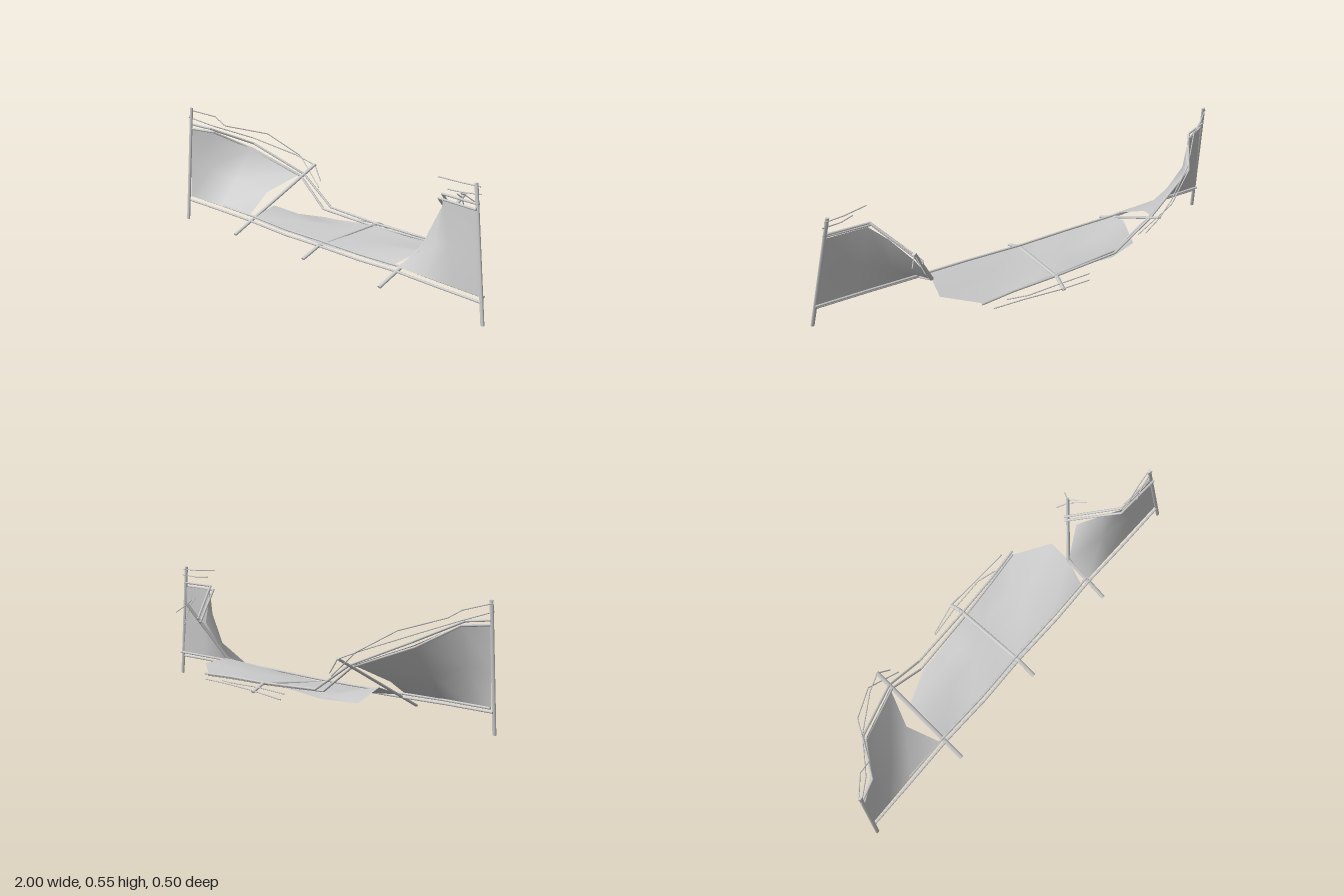
import * as THREE from 'three';
import { mergeGeometries } from 'three/addons/utils/BufferGeometryUtils.js';

const grey = new THREE.MeshStandardMaterial({ color: 0xcccccc });
const sheet = new THREE.MeshStandardMaterial({ color: 0xcccccc, side: THREE.DoubleSide });

// Straight rods joined end to end along a bent path; flat squeezes the section front to back
function rod(name, radius, points, sides = 8, flat = 1) {
  const pts = points.map((p) => new THREE.Vector3(...p));
  const parts = [];
  for (let i = 0; i < pts.length - 1; i++) {
    const dir = pts[i + 1].clone().sub(pts[i]);
    const g = new THREE.CylinderGeometry(radius, radius, dir.length(), sides).scale(1, 1, flat);
    const q = new THREE.Quaternion().setFromUnitVectors(new THREE.Vector3(0, 1, 0), dir.clone().normalize());
    g.applyQuaternion(q);
    const mid = pts[i].clone().add(pts[i + 1]).multiplyScalar(0.5);
    g.translate(mid.x, mid.y, mid.z);
    parts.push(g);
    // Small knuckle filling each bend
    if (i > 0) parts.push(new THREE.SphereGeometry(radius * flat, sides, 4).translate(pts[i].x, pts[i].y, pts[i].z));
  }
  const mesh = new THREE.Mesh(mergeGeometries(parts), grey);
  mesh.name = name;
  return mesh;
}

// Smooth sheet lofted through rows of points, listed bottom to top
function panel(name, rows) {
  const cols = rows[0].length;
  const index = [];
  for (let r = 0; r < rows.length - 1; r++) {
    for (let c = 0; c < cols - 1; c++) {
      const a = r * cols + c, b = a + 1, d = a + cols, e = d + 1;
      index.push(a, b, e, a, e, d);
    }
  }
  const g = new THREE.BufferGeometry();
  g.setAttribute('position', new THREE.Float32BufferAttribute(rows.flat(2), 3));
  g.setIndex(index);
  g.computeVertexNormals();
  const mesh = new THREE.Mesh(g, sheet);
  mesh.name = name;
  return mesh;
}

export function createModel() {
  const model = new THREE.Group();
  model.name = 'collapsedFence';

  // Posts: two upright ends, one leaning, one flattened, one buckled
  const posts = {
    rightEndPost: [[-0.99, 0, 0.176], [-0.99, 0.545, 0.14]],
    leaningPost: [[-0.51, 0.042, 0.245], [-0.51, 0.298, -0.23]],
    fallenPost: [[-0.015, 0.045, 0.245], [-0.015, 0.088, 0.155], [-0.015, 0.124, -0.19], [-0.015, 0.094, -0.247]],
    buckledPost: [[0.48, 0.045, 0.245], [0.482, 0.155, 0.03], [0.615, 0.405, -0.1]],
    leftEndPost: [[0.988, 0.003, 0.168], [0.893, 0.543, 0.122]],
  };
  for (const [name, path] of Object.entries(posts)) model.add(rod(name, 0.0095, path, 8, 0.65));

  // Lower rails, one each side of the sheet
  for (const [dz, y] of [[0.008, 0.094], [-0.008, 0.113]]) {
    model.add(rod('lowerRail', 0.0052, [
      [-0.99, y, 0.155 + dz], [-0.75, y, 0.152 + dz], [-0.51, y - 0.004, 0.146 + dz], [-0.25, y - 0.009, 0.152 + dz],
      [-0.015, y - 0.008, 0.146 + dz], [0.25, y - 0.005, 0.152 + dz], [0.48, y, 0.147 + dz], [0.72, y - 0.001, 0.153 + dz], [0.972, y - 0.002, 0.155 + dz],
    ]));
  }

  // Upper rails, sagging from the standing end down to the fallen middle
  model.add(rod('upperRailBack', 0.0052, [
    [-0.99, 0.465, 0.14], [-0.89, 0.455, 0.105], [-0.77, 0.378, -0.065], [-0.51, 0.262, -0.162],
    [-0.32, 0.138, -0.168], [-0.015, 0.125, -0.176], [0.2, 0.125, -0.185], [0.36, 0.122, -0.2]]));
  model.add(rod('upperRailFront', 0.0052, [
    [-0.99, 0.445, 0.148], [-0.88, 0.437, 0.09], [-0.77, 0.355, -0.05], [-0.51, 0.253, -0.145],
    [-0.34, 0.13, -0.14], [-0.015, 0.117, -0.158], [0.2, 0.118, -0.175], [0.35, 0.116, -0.19]]));
  model.add(rod('tornRailBack', 0.0052, [[0.915, 0.463, 0.128], [0.71, 0.463, 0.122], [0.565, 0.335, -0.075]]));
  model.add(rod('tornRailFront', 0.0052, [[0.915, 0.445, 0.142], [0.7, 0.445, 0.132], [0.56, 0.318, -0.065]]));

  // Sheet panels
  model.add(panel('rightPanel', [
    [[-0.985, 0.112, 0.158], [-0.88, 0.112, 0.155], [-0.74, 0.112, 0.151], [-0.53, 0.112, 0.146]],
    [[-0.985, 0.27, 0.153], [-0.88, 0.27, 0.125], [-0.75, 0.225, 0.06], [-0.587, 0.185, 0]],
    [[-0.985, 0.445, 0.145], [-0.88, 0.44, 0.09], [-0.76, 0.36, -0.055], [-0.52, 0.262, -0.148]],
  ]));
  // The fallen sheet ripples between the posts, one back corner drooping
  model.add(panel('middlePanel', [
    [[-0.51, 0.102, 0.145], [-0.3, 0.095, 0.15], [-0.15, 0.098, 0.15], [-0.015, 0.092, 0.15], [0.2, 0.1, 0.147], [0.44, 0.103, 0.148]],
    [[-0.495, 0.145, 0.03], [-0.3, 0.105, 0.01], [-0.15, 0.11, 0], [-0.015, 0.104, 0], [0.2, 0.116, 0], [0.482, 0.152, 0.03]],
    [[-0.48, 0.09, -0.08], [-0.3, 0.094, -0.08], [-0.15, 0.105, -0.08], [-0.015, 0.112, -0.08], [0.2, 0.108, -0.08], [0.5, 0.138, -0.083]],
    [[-0.33, 0.094, -0.137], [-0.25, 0.1, -0.139], [-0.15, 0.11, -0.145], [-0.015, 0.119, -0.155], [0.2, 0.114, -0.17], [0.35, 0.116, -0.187]],
  ]));
  model.add(panel('leftPanel', [
    [[0.48, 0.111, 0.148], [0.65, 0.111, 0.15], [0.8, 0.111, 0.153], [0.967, 0.111, 0.156]],
    [[0.482, 0.152, 0.032], [0.64, 0.23, 0.09], [0.77, 0.265, 0.135], [0.94, 0.27, 0.146]],
    [[0.58, 0.312, -0.015], [0.655, 0.395, 0.065], [0.72, 0.443, 0.126], [0.91, 0.443, 0.13]],
  ]));

  // Snapped wires above the rails
  const wires = [
    [[-1, 0.533, 0.14], [-0.91, 0.505, 0.062], [-0.845, 0.468, 0.048], [-0.735, 0.423, -0.122], [-0.59, 0.33, -0.204], [-0.43, 0.21, -0.185]],
    [[-1, 0.5, 0.15], [-0.9, 0.463, 0.08], [-0.77, 0.405, -0.065], [-0.6, 0.335, -0.185], [-0.51, 0.295, -0.228], [-0.45, 0.228, -0.214]],
    [[0.91, 0.53, 0.115], [0.82, 0.53, 0.125], [0.71, 0.536, 0.145]],
    [[0.92, 0.502, 0.12], [0.83, 0.496, 0.135], [0.77, 0.5, 0.155]],
    [[-0.16, 0.078, -0.218], [-0.015, 0.1, -0.245], [0.18, 0.105, -0.235], [0.32, 0.105, -0.23]],
    [[-0.17, 0.102, -0.205], [-0.015, 0.112, -0.22], [0.15, 0.11, -0.225], [0.24, 0.105, -0.2]],
    [[0.65, 0.425, -0.02], [0.608, 0.39, -0.09], [0.585, 0.315, -0.135]],
    [[0.635, 0.418, -0.055], [0.615, 0.4, -0.1], [0.645, 0.365, -0.14]],
  ];
  for (const path of wires) model.add(rod('wire', 0.0026, path, 6));

  return model;
}
